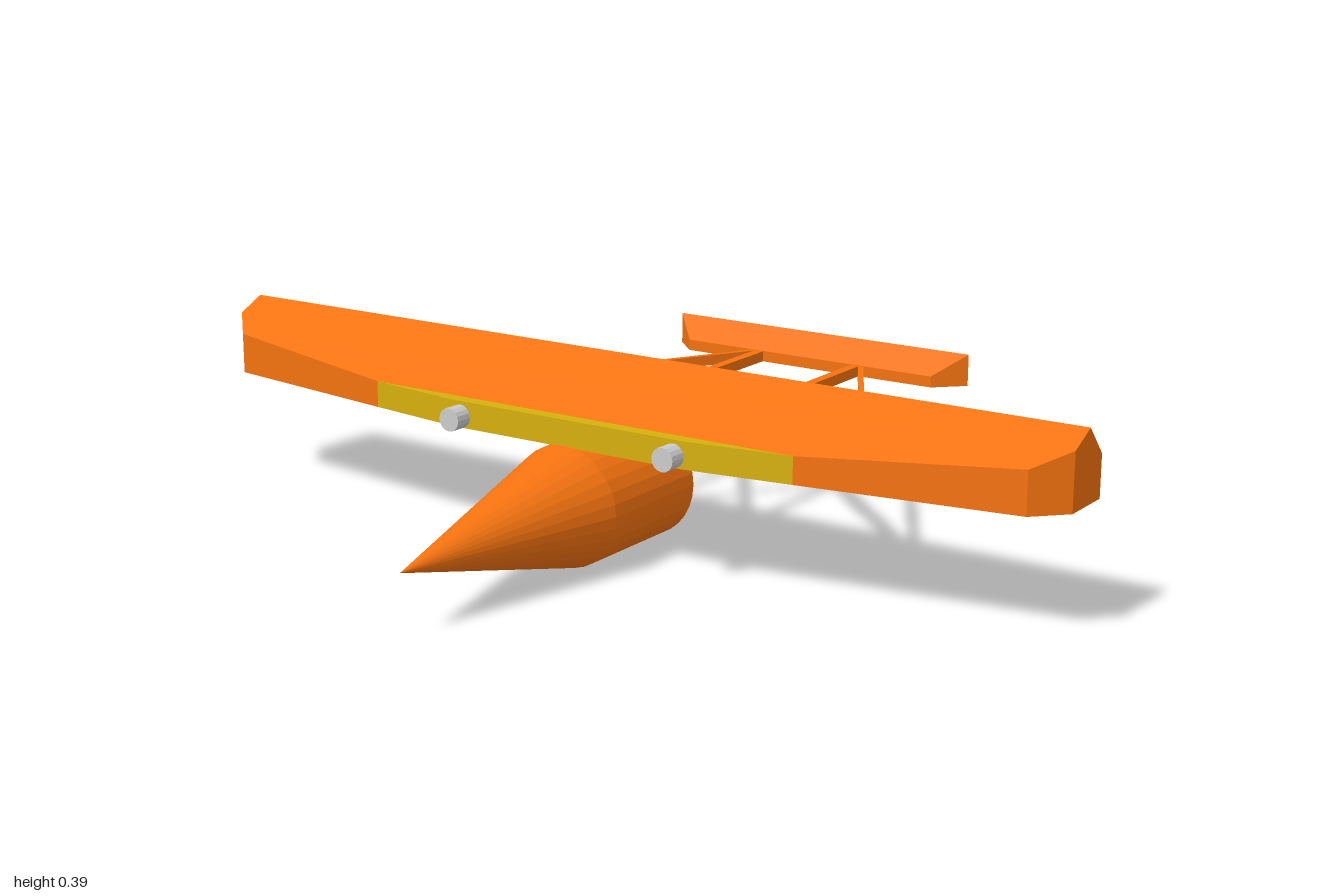
import * as THREE from 'three';

const material = (color) => new THREE.MeshStandardMaterial({ color, flatShading: true });

export function createModel() {
  const model = new THREE.Group();
  const orange = material(0xf4720f);
  const yellow = material(0xd6b00e);
  const grey = material(0xcccccc);

  const add = (name, geometry, mat, parent = model) => {
    const mesh = new THREE.Mesh(geometry, mat);
    mesh.name = name;
    parent.add(mesh);
    return mesh;
  };

  // Mirrored plan outline raised from a flat base to a roof whose height follows z
  const slab = (name, rightSide, base, roof, mat, parent) => {
    const left = rightSide.map(([x, z]) => [-x, z]).reverse();
    const shape = new THREE.Shape([...rightSide, ...left].map(([x, z]) => new THREE.Vector2(x, -z)));
    const geometry = new THREE.ExtrudeGeometry(shape, { depth: 1, bevelEnabled: false });
    geometry.rotateX(-Math.PI / 2);
    const p = geometry.attributes.position;
    for (let i = 0; i < p.count; i++) p.setY(i, p.getY(i) > 0.5 ? roof(p.getZ(i)) : base);
    geometry.computeVertexNormals();
    return add(name, geometry, mat, parent);
  };

  // Straight square-edged bar between two plan points
  const BAR_Y = 0.232;
  const bar = (name, [x1, z1], [x2, z2], width, parent) => {
    const dx = x2 - x1, dz = z2 - z1;
    const mesh = add(name, new THREE.BoxGeometry(width, 0.023, Math.hypot(dx, dz)), orange, parent);
    mesh.position.set((x1 + x2) / 2, BAR_Y, (z1 + z2) / 2);
    mesh.rotation.y = Math.atan2(dx, dz);
  };

  // Fuselage: cylinder with a long pointed nose
  const R = 0.124;
  const profile = [[0, 0], [R, 0], [R, 0.27], [0, 0.765]].map(([r, y]) => new THREE.Vector2(r, y));
  const fuselage = add('fuselage', new THREE.LatheGeometry(profile, 32), orange);
  fuselage.rotation.x = Math.PI / 2;
  fuselage.position.y = R;

  // Main wing, split along its ridge
  const wing = new THREE.Group();
  wing.name = 'wing';
  model.add(wing);
  const ridge = 0.055, base = 0.245;
  slab('wingFront', [[1, ridge], [1, 0.115], [0.94, 0.176], [0.5, 0.24]], base,
    (z) => 0.39 - (z - ridge) * 0.486, orange, wing);
  slab('wingRear', [[1, 0], [1, ridge]], base, (z) => 0.33 + z * (0.06 / ridge), orange, wing);

  // Yellow leading edge panel with two engines
  slab('leadingEdge', [[0.5, 0.24], [0.28, 0.27]], base, () => 0.3, yellow, wing);
  for (const side of [-1, 1]) {
    const engine = add('engine', new THREE.CylinderGeometry(0.024, 0.024, 0.06, 16), grey);
    engine.rotation.x = Math.PI / 2;
    engine.position.set(side * 0.256, 0.269, 0.278);
  }

  // Tail frame
  const frame = new THREE.Group();
  frame.name = 'tailFrame';
  model.add(frame);
  bar('crossBar', [-0.125, -0.347], [0.125, -0.347], 0.022, frame);
  for (const s of [-1, 1]) {
    bar('boom', [s * 0.125, 0.07], [s * 0.125, -0.66], 0.022, frame);
    bar('strut', [s * 0.125, -0.347], [s * 0.513, 0.01], 0.022, frame);
    bar('brace', [s * 0.135, -0.655], [s * 0.517, 0.01], 0.012, frame);
    bar('crossBrace', [s * 0.115, -0.345], [s * -0.125, 0.02], 0.012, frame);
  }

  // Tailplane, split along its ridge
  const tail = new THREE.Group();
  tail.name = 'tailplane';
  model.add(tail);
  const tailRoof = (z) => 0.29 - Math.abs(z + 0.705) * 0.77;
  slab('tailFront', [[0.375, -0.705], [0.315, -0.646]], 0.22, tailRoof, orange, tail);
  slab('tailRear', [[0.315, -0.765], [0.375, -0.705]], 0.22, tailRoof, orange, tail);

  return model;
}
